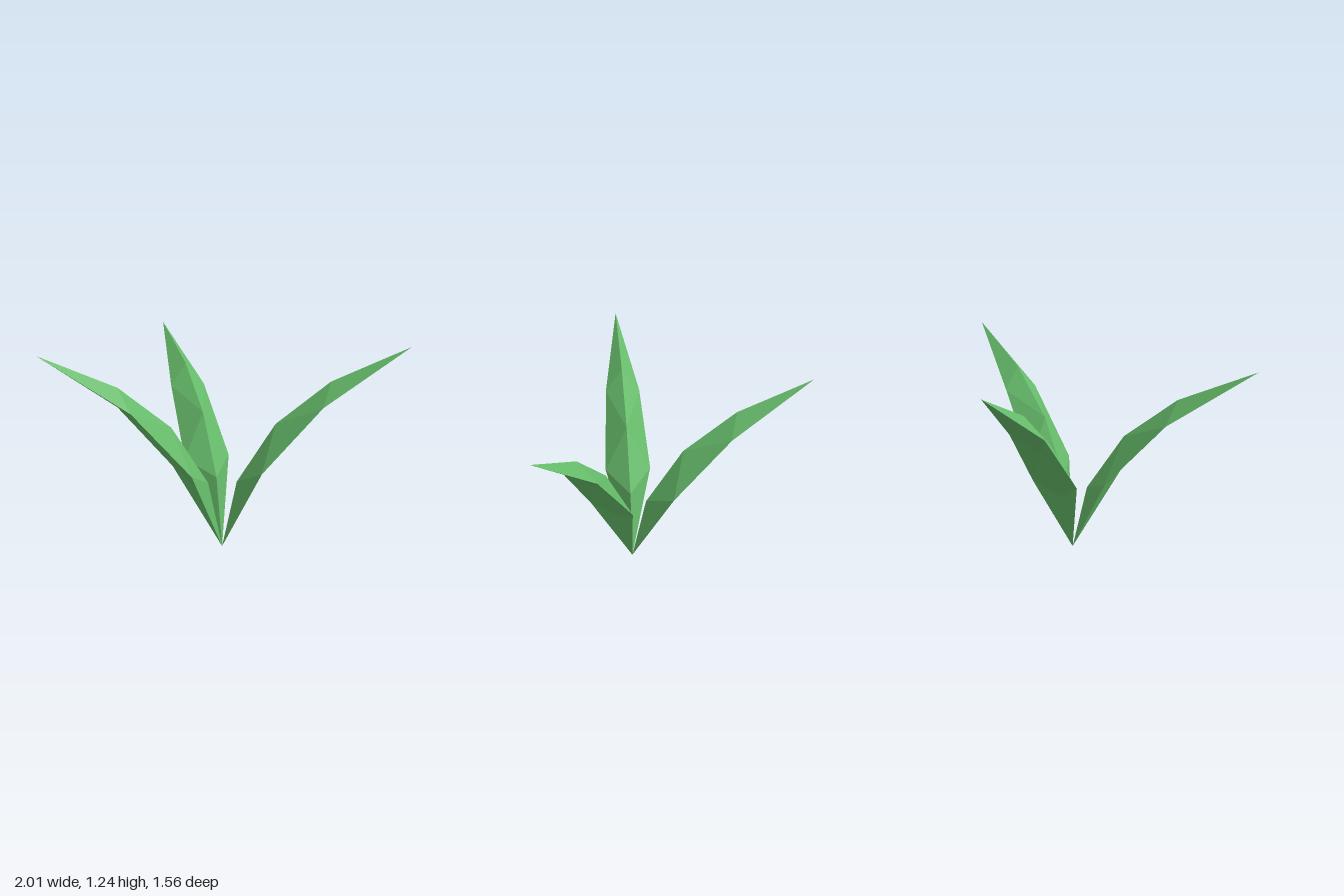
import * as THREE from 'three';

// Leaf profile along its own length: [outward, up], the rim also with its half width
const RIDGE = [[0, 0], [0.09, 0.41], [0.32, 0.77], [0.64, 1.03], [1.094, 1.24]];
const KEEL = [[0, 0], [0.16, 0.39], [0.43, 0.75], [0.71, 1.0], [1.094, 1.24]];
const RIM = [[0.257, 0.5, 0.145], [0.605, 0.895, 0.11]];

// Zigzag of triangles from a centre line out to the rim on one side
function halfStrip(line, side, flip) {
  const c = line.map(([x, y]) => [x, y, 0]);
  const rim = RIM.map(([x, y, w]) => [x, y, w * side]);
  const triangles = [
    [c[0], rim[0], c[1]],
    [c[1], rim[0], c[2]],
    [c[2], rim[0], rim[1]],
    [c[2], rim[1], c[3]],
    [c[3], rim[1], c[4]],
  ];
  return triangles.flatMap(([p, q, r]) => (flip ? [p, r, q] : [p, q, r])).flat();
}

// Solid leaf: a sharp ridge on top and a shallower hollow underneath
function leafGeometry() {
  const positions = [];
  for (const side of [1, -1]) {
    positions.push(...halfStrip(RIDGE, side, side < 0), ...halfStrip(KEEL, side, side > 0));
  }
  const geometry = new THREE.BufferGeometry();
  geometry.setAttribute('position', new THREE.Float32BufferAttribute(positions, 3));
  geometry.computeVertexNormals();
  return geometry;
}

export function createModel() {
  const plant = new THREE.Group();
  plant.name = 'plant';
  const material = new THREE.MeshStandardMaterial({ color: 0x66bb6a, flatShading: true });
  const geometry = leafGeometry();

  // Three leaves fan out from one root point
  const leaves = { leftLeaf: 0, backLeaf: 119.6, frontLeaf: -146.5 };
  for (const [name, degrees] of Object.entries(leaves)) {
    const leaf = new THREE.Mesh(geometry, material);
    leaf.name = name;
    leaf.position.set(-0.094, 0, 0.172);
    leaf.rotation.y = THREE.MathUtils.degToRad(degrees);
    plant.add(leaf);
  }
  return plant;
}
